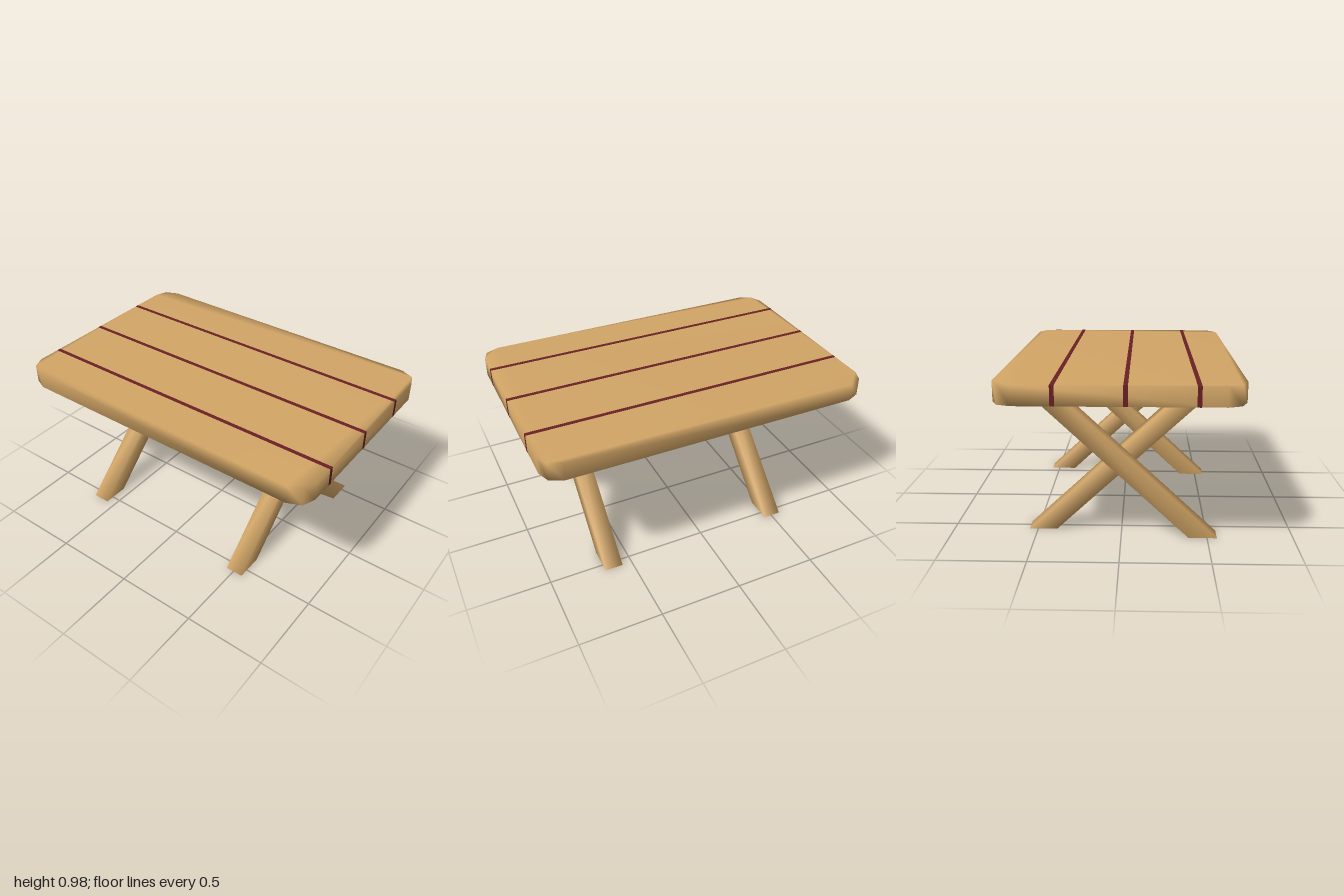
import * as THREE from 'three';
import { mergeVertices } from 'three/addons/utils/BufferGeometryUtils.js';

const TOP = 0.975, UNDER = 0.865, HALF_W = 0.665, HALF_L = 0.999;

// Weld the corners so normals run smoothly round the edges
function soften(geometry) {
  geometry.deleteAttribute('uv');
  geometry.deleteAttribute('normal');
  const welded = mergeVertices(geometry, 1e-4);
  welded.computeVertexNormals();
  return welded;
}

// Slab with corners cut in three facets
function slabGeometry() {
  const corner = [[HALF_W, 0.89], [0.63, 0.97], [0.555, HALF_L]];
  const back = [...corner].reverse();
  const outline = [
    ...corner,
    ...back.map(([x, z]) => [-x, z]),
    ...corner.map(([x, z]) => [-x, -z]),
    ...back.map(([x, z]) => [x, -z]),
  ].map(([x, z]) => new THREE.Vector2(x, z));
  const g = new THREE.ExtrudeGeometry(new THREE.Shape(outline), { depth: TOP - UNDER, bevelEnabled: false });
  g.rotateX(-Math.PI / 2);
  g.translate(0, UNDER, 0);
  return soften(g);
}

// Slanted beam with level ends: a box sheared along x
function legGeometry(footX, headX) {
  const g = new THREE.BoxGeometry(0.165, UNDER, 0.11);
  g.translate(0, UNDER / 2, 0);
  const p = g.attributes.position;
  for (let i = 0; i < p.count; i++) {
    p.setX(i, p.getX(i) + THREE.MathUtils.lerp(footX, headX, p.getY(i) / UNDER));
  }
  return soften(g);
}

export function createModel() {
  const wood = new THREE.MeshStandardMaterial({ color: 0xd2a566 });
  wood.name = 'wood';
  const seam = new THREE.MeshStandardMaterial({ color: 0x6a2024 });
  seam.name = 'dark red seam';

  const table = new THREE.Group();
  table.name = 'table';
  const add = (name, geometry, material, x = 0, y = 0, z = 0) => {
    const mesh = new THREE.Mesh(geometry, material);
    mesh.name = name;
    mesh.position.set(x, y, z);
    table.add(mesh);
  };

  add('tabletop', slabGeometry(), wood);

  // Seams between planks: thin plates on the top, underside and both ends
  const thin = 0.002, seamWidth = 0.024, height = TOP - UNDER;
  const flat = new THREE.BoxGeometry(seamWidth, thin, HALF_L * 2);
  const end = new THREE.BoxGeometry(seamWidth, height, thin);
  for (const x of [-0.41, -0.035, 0.34]) {
    add('topSeam', flat, seam, x, TOP, 0);
    add('underSeam', flat, seam, x, UNDER, 0);
    for (const side of [1, -1]) add('endSeam', end, seam, x, UNDER + height / 2, side * HALF_L);
  }

  // Two crossed pairs of legs, each pair lying side by side
  const outerLeg = legGeometry(0.468, -0.457);
  const innerLeg = legGeometry(-0.475, 0.447);
  for (const [end, z] of [['front', 0.56], ['back', -0.56]]) {
    add(end + 'LegFallingLeft', outerLeg, wood, 0, 0, z + 0.055);
    add(end + 'LegFallingRight', innerLeg, wood, 0, 0, z - 0.055);
  }
  return table;
}
